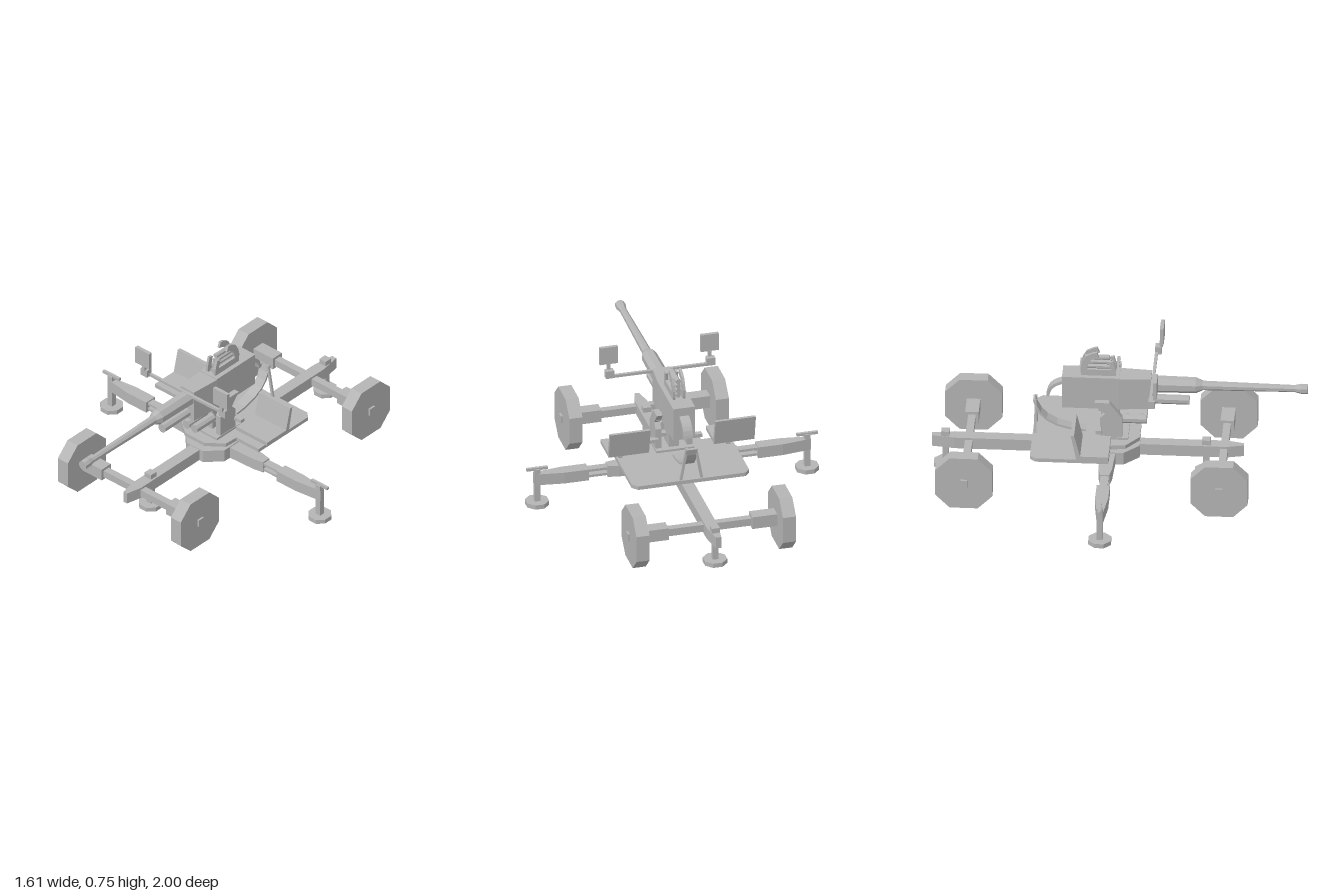
import * as THREE from 'three';

export function createModel() {
  const model = new THREE.Group();
  const grey = new THREE.MeshStandardMaterial({ color: 0xb4b4b4, flatShading: true });
  grey.name = 'plain grey';

  const add = (name, geo) => {
    const mesh = new THREE.Mesh(geo, grey);
    mesh.name = name;
    model.add(mesh);
    return mesh;
  };
  // Box given by its limits on each axis
  const box = (name, x0, x1, y0, y1, z0, z1) =>
    add(name, new THREE.BoxGeometry(x1 - x0, y1 - y0, z1 - z0)
      .translate((x0 + x1) / 2, (y0 + y1) / 2, (z0 + z1) / 2));
  // Plan outline of [x, z] points raised from y0 to y1
  const plan = (name, pts, y0, y1) => {
    const shape = new THREE.Shape(pts.map(([x, z]) => new THREE.Vector2(x, -z)));
    return add(name, new THREE.ExtrudeGeometry(shape, { depth: y1 - y0, bevelEnabled: false })
      .rotateX(-Math.PI / 2).translate(0, y0, 0));
  };
  // Side outline of [z, y] points spanning x0 to x1
  const side = (name, pts, x0, x1) => {
    const shape = new THREE.Shape(pts.map(([z, y]) => new THREE.Vector2(z, y)));
    return add(name, new THREE.ExtrudeGeometry(shape, { depth: x1 - x0, bevelEnabled: false })
      .rotateY(-Math.PI / 2).translate(x1, 0, 0));
  };
  // Curved sheet: centre points [z, y] thickened into a side outline
  const sheet = (name, pts, t, x0, x1) => {
    const curve = new THREE.SplineCurve(pts.map(([z, y]) => new THREE.Vector2(z, y)));
    const a = [], b = [];
    for (let i = 0; i <= 6; i++) {
      const p = curve.getPoint(i / 6), d = curve.getTangent(i / 6);
      a.push([p.x - d.y * t / 2, p.y + d.x * t / 2]);
      b.unshift([p.x + d.y * t / 2, p.y - d.x * t / 2]);
    }
    return side(name, [...a, ...b], x0, x1);
  };
  // Eight-sided rod along z, radius r0 at the back and r1 at the front
  const rod = (name, x, y, z0, z1, r0, r1 = r0) =>
    add(name, new THREE.CylinderGeometry(r1, r0, z1 - z0, 8).rotateY(Math.PI / 8)
      .rotateX(Math.PI / 2).translate(x, y, (z0 + z1) / 2));
  // Upright eight-sided disc
  const disc = (name, x, y0, y1, z, r) =>
    add(name, new THREE.CylinderGeometry(r, r, y1 - y0, 8).rotateY(Math.PI / 8)
      .translate(x, (y0 + y1) / 2, z));

  // Carriage: long beam, hub and turntable
  plan('mainBeam', [[-0.015, -1], [0.015, -1], [0.033, -0.88], [0.033, 0.57],
    [0.012, 0.66], [-0.012, 0.66], [-0.033, 0.57], [-0.033, -0.88]], 0.122, 0.187);
  disc('hub', 0, 0.12, 0.192, -0.03, 0.15);
  disc('turntable', 0, 0.19, 0.236, -0.055, 0.114);

  // Axles with eight-sided wheels
  for (const z of [0.556, -0.803]) {
    box('axle', -0.45, 0.45, 0.133, 0.175, z - 0.02, z + 0.02);
    for (const s of [-1, 1]) {
      const c = 0.403 * s, h = 0.152, f = 0.075;
      box('axleSleeve', s * 0.3 - 0.07, s * 0.3 + 0.07, 0.12, 0.19, z - 0.036, z + 0.036);
      side('wheel', [[f, h], [-f, h], [-h, f], [-h, -f], [-f, -h], [f, -h], [h, -f], [h, f]]
        .map(([a, b]) => [z + a, 0.152 + b]), c - 0.036, c + 0.036);
    }
  }

  // Levelling jacks under both ends of the beam
  for (const z of [0.46, -0.928]) {
    disc('beamFoot', 0, 0, 0.025, z, 0.066);
    box('beamJack', -0.016, 0.016, 0.02, 0.215, z - 0.016, z + 0.016);
    box('beamJackCap', -0.022, 0.022, 0.185, 0.215, z - 0.022, z + 0.022);
  }

  // Folding side arms with jacks
  const az = -0.058;
  for (const s of [-1, 1]) {
    plan('innerArm', [[0.08, -0.045], [0.3, -0.036], [0.36, -0.025], [0.36, 0.025],
      [0.3, 0.036], [0.08, 0.045]].map(([x, z]) => [s * x, az + z]), 0.122, 0.187);
    for (const y of [0.132, 0.165])
      box('armLink', s * 0.42 - 0.08, s * 0.42 + 0.08, y, y + 0.014, az - 0.022, az + 0.022);
    plan('outerArm', [[0.465, -0.035], [0.6, -0.035], [0.76, -0.015], [0.76, 0.015],
      [0.6, 0.035], [0.465, 0.035]].map(([x, z]) => [s * x, az + z]), 0.122, 0.187);
    disc('armFoot', s * 0.743, 0, 0.025, az, 0.065);
    box('armJack', s * 0.743 - 0.016, s * 0.743 + 0.016, 0.02, 0.215, az - 0.016, az + 0.016);
    box('jackHandle', s * 0.743 - 0.058, s * 0.743 + 0.058, 0.207, 0.222, az - 0.008, az + 0.008);
  }

  // Crew platform, narrowing towards the front
  const half = [[0.07, 0.11], [0.16, 0.04], [0.165, -0.04], [0.323, -0.04], [0.323, -0.43], [0.295, -0.46]];
  plan('platform', [...half, ...half.map(([x, z]) => [-x, z]).reverse()], 0.232, 0.253);

  // Seats with leaning backs
  for (const c of [-0.303, 0.277]) {
    side('seat', [[-0.035, 0.306], [-0.035, 0.328], [-0.185, 0.328], [-0.217, 0.455],
      [-0.235, 0.455], [-0.205, 0.306]], c - 0.111, c + 0.111);
    const p = c < 0 ? -0.29 : 0.302;
    box('seatPost', p - 0.011, p + 0.011, 0.25, 0.31, -0.13, -0.1);
  }

  // Gun mount: base, cheek plates, cross rail and column
  box('mountBase', -0.105, 0.105, 0.25, 0.265, -0.13, 0.05);
  box('mountColumn', -0.028, 0.028, 0.26, 0.42, -0.1, 0.0);
  box('crossRail', -0.09, 0.09, 0.305, 0.325, -0.05, -0.02);
  for (const s of [-1, 1]) {
    side('cheekPlate', [[0.018, 0.25], [0.018, 0.385], [-0.05, 0.475], [-0.128, 0.475],
      [-0.072, 0.41], [-0.1, 0.38], [-0.1, 0.25]], s * 0.086 - 0.016, s * 0.086 + 0.016);
    box('sideBracket', s * 0.12 - 0.03, s * 0.12 + 0.03, 0.31, 0.33, -0.12, -0.09);
    box('trunnion', s * 0.075 - 0.02, s * 0.075 + 0.02, 0.425, 0.46, -0.09, -0.05);
    rod('lowerCylinder', s * 0.029, 0.343, 0, 0.145, 0.026);
  }

  // Gun body and barrel
  box('gunBody', -0.06, 0.06, 0.415, 0.604, -0.305, 0);
  plan('bodyFront', [[-0.06, 0], [-0.047, 0.168], [0.047, 0.168], [0.06, 0]], 0.415, 0.6);
  rod('barrelJacket', 0, 0.545, 0.16, 0.405, 0.046, 0.043);
  rod('jacketCollar', 0, 0.545, 0.405, 0.44, 0.043, 0.028);
  rod('barrel', 0, 0.545, 0.42, 0.94, 0.026, 0.019);
  rod('muzzleFlare', 0, 0.545, 0.93, 0.965, 0.019, 0.027);
  rod('muzzle', 0, 0.545, 0.965, 1, 0.027);
  rod('recoilCylinder', 0, 0.452, 0.16, 0.37, 0.026);

  // Loading guide with stacked rounds
  for (const s of [-1, 1]) {
    const a = s * 0.027 - 0.007, b = s * 0.027 + 0.007;
    sheet('rearGuide', [[-0.185, 0.6], [-0.19, 0.65], [-0.165, 0.71], [-0.115, 0.728]], 0.035, a, b);
    sheet('frontGuide', [[-0.033, 0.6], [-0.032, 0.64], [-0.045, 0.69]], 0.026, a, b);
    box('guideSide', a, b, 0.6, 0.64, -0.18, -0.035);
  }
  for (let i = 0; i < 4; i++) rod('round', 0, 0.618 + i * 0.027, -0.185, -0.03 - i * 0.008, 0.014);

  // Rear deflector and the curved chute below it
  sheet('rearDeflector', [[-0.3, 0.55], [-0.345, 0.53], [-0.372, 0.5], [-0.383, 0.462]], 0.016, -0.026, 0.026);
  sheet('chute', [[-0.18, 0.258], [-0.3, 0.275], [-0.39, 0.32], [-0.435, 0.375], [-0.455, 0.435]], 0.012, -0.03, 0.03);
  for (const s of [-1, 1]) {
    const leg = box('chuteLeg', -0.007, 0.007, -0.1, 0.1, -0.006, 0.006);
    leg.position.set(s * 0.042, 0.338, -0.447);
    leg.rotation.z = s * 0.18;
  }

  // Aiming bar with a square sight on each end
  box('sightBar', -0.3, 0.3, 0.573, 0.588, 0.17, 0.186);
  for (const s of [-1, 1]) {
    const c = s * 0.278;
    box('sightBracket', c - 0.023, c + 0.023, 0.572, 0.615, 0.17, 0.205);
    box('sightStem', c - 0.009, c + 0.009, 0.61, 0.65, 0.194, 0.21);
    box('sightPanel', c - 0.05, c + 0.05, 0.645, 0.745, 0.197, 0.217);
  }
  return model;
}
